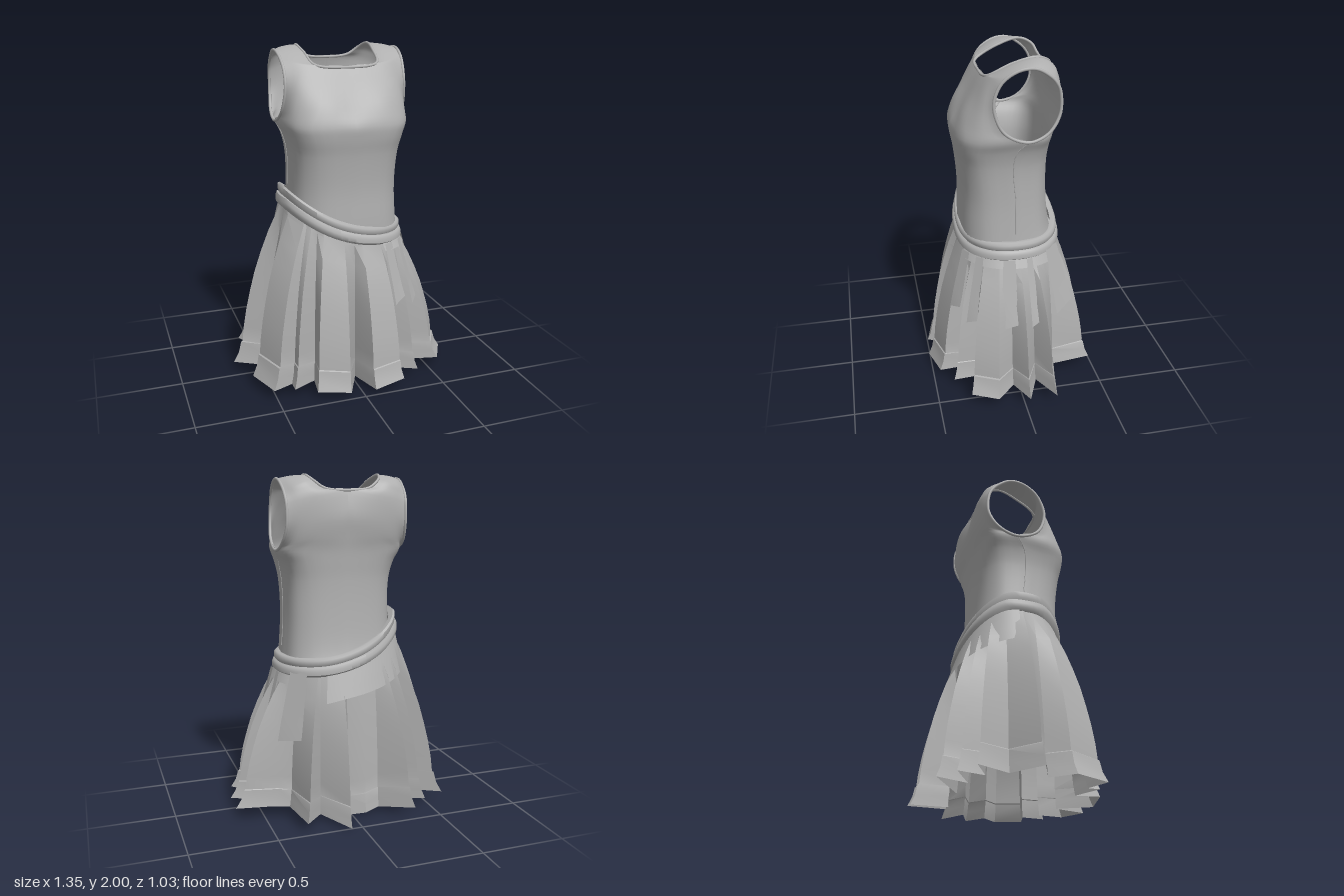
import * as THREE from 'three';
import { mergeVertices, toCreasedNormals } from 'three/addons/utils/BufferGeometryUtils.js';

const V = (x, y, z) => new THREE.Vector3(x, y, z);
const { lerp } = THREE.MathUtils;
const fabric = new THREE.MeshStandardMaterial({ color: 0xb0b0b0, side: THREE.DoubleSide });
fabric.name = 'grey fabric';

// Slant of the belt line: 0 on the left hip, 1 on the right hip
const slant = (x) => Math.pow(Math.min(1, Math.max(0, (0.36 - x) / 0.72)), 2.6);
const beltY = (x) => 0.905 + 0.235 * slant(x);

// Surface through one or more grids of points, welded where they touch
function sheet(grids) {
  const pos = [], index = [];
  for (const { rows, flip } of grids) {
    const base = pos.length / 3, n = rows[0].length;
    rows.forEach((row) => row.forEach((p) => pos.push(p.x, p.y, p.z)));
    for (let i = 0; i < rows.length - 1; i++) {
      for (let j = 0; j < n - 1; j++) {
        const a = base + i * n + j, b = a + 1, c = a + n, d = c + 1;
        if (flip) index.push(a, d, b, a, c, d);
        else index.push(a, b, d, a, d, c);
      }
    }
  }
  const g = new THREE.BufferGeometry();
  g.setAttribute('position', new THREE.Float32BufferAttribute(pos, 3));
  g.setIndex(index);
  return mergeVertices(g, 1e-4);
}

// Quarter cross-section of the torso, from the centre line to the side seam
const quarter = (y, w, zSide, z, p) => [0, 1, 2, 3].map((k) => {
  const a = k * Math.PI / 6;
  const s = Math.pow(Math.sin(a), p), c = k === 3 ? 0 : Math.pow(Math.cos(a), p);
  return V(w * s, y, zSide + (z - zSide) * c);
});

// Lower torso: height, half width, side seam z, front z, back z, squareness
const torso = [
  [0.86, 0.345, 0, 0.29, -0.285, 0.76], [1.0, 0.332, 0, 0.29, -0.245, 0.76],
  [1.2, 0.32, 0, 0.283, -0.225, 0.73], [1.4, 0.324, 0.015, 0.298, -0.22, 0.65],
  [1.5, 0.345, 0, 0.315, -0.225, 0.58], [1.57, 0.374, -0.055, 0.318, -0.23, 0.57],
];

// Chest, shoulder and upper back: four points from centre or neckline to armhole
const upper = [
  [0, 1.66, 0.27, 0.2, 1.67, 0.268, 0.325, 1.65, 0.205, 0.368, 1.63, 0.077],
  [0, 1.77, 0.21, 0.17, 1.78, 0.205, 0.29, 1.78, 0.18, 0.355, 1.77, 0.13],
  [0, 1.88, 0.15, 0.13, 1.882, 0.148, 0.25, 1.885, 0.135, 0.355, 1.87, 0.105],
  [0.18, 1.895, 0.13, 0.23, 1.905, 0.12, 0.29, 1.915, 0.1, 0.36, 1.925, 0.06],
  [0.21, 1.96, 0, 0.25, 1.968, 0, 0.31, 1.97, -0.01, 0.365, 1.965, -0.02],
  [0.22, 1.992, -0.13, 0.26, 1.99, -0.13, 0.32, 1.98, -0.12, 0.365, 1.965, -0.1],
  [0.195, 1.965, -0.2, 0.25, 1.955, -0.215, 0.31, 1.935, -0.208, 0.36, 1.92, -0.175],
  [0.13, 1.92, -0.222, 0.22, 1.917, -0.238, 0.295, 1.9, -0.232, 0.358, 1.885, -0.207],
  [0, 1.908, -0.225, 0.15, 1.88, -0.25, 0.27, 1.86, -0.248, 0.355, 1.835, -0.23],
  [0, 1.77, -0.252, 0.15, 1.76, -0.258, 0.28, 1.74, -0.248, 0.355, 1.71, -0.23],
  [0, 1.65, -0.24, 0.18, 1.65, -0.243, 0.305, 1.63, -0.22, 0.368, 1.61, -0.165],
].map((r) => [0, 3, 6, 9].map((k) => V(r[k], r[k + 1], r[k + 2])));

const keyRows = [
  ...torso.map(([y, w, zs, zf, , p]) => quarter(y, w, zs, zf, p)),
  ...upper,
  ...torso.map(([y, w, zs, , zb, p]) => quarter(y, w, zs, zb, p)).reverse(),
];
const flipX = (p, side) => V(p.x * side, p.y, p.z);

function bodiceGeometry() {
  const columns = [0, 1, 2, 3].map((k) => new THREE.CatmullRomCurve3(keyRows.map((r) => r[k])));
  const steps = (keyRows.length - 1) * 4;
  const half = (side) => Array.from({ length: steps + 1 }, (_, i) => {
    const row = new THREE.CatmullRomCurve3(columns.map((c) => c.getPoint(i / steps)));
    return row.getPoints(12).map((p) => {
      const q = flipX(p, side);
      q.y = Math.max(q.y, beltY(q.x) - 0.04);
      return q;
    });
  });
  const g = sheet([{ rows: half(1), flip: false }, { rows: half(-1), flip: true }]);
  g.computeVertexNormals();
  return g;
}

// Hem outline of the pleats as x, z pairs, from the front round by the left
const hem = [
  [0, 0.31], [0.06, 0.51], [0.26, 0.46], [0.25, 0.31], [0.38, 0.39], [0.37, 0.25], [0.55, 0.31],
  [0.63, 0.16], [0.51, 0.05], [0.67, -0.02], [0.5, -0.09], [0.67, -0.18], [0.45, -0.22], [0.36, -0.24],
  [0.32, -0.48], [0.2, -0.33], [0.07, -0.52], [0.02, -0.32], [-0.08, -0.35], [-0.17, -0.33],
  [-0.34, -0.49], [-0.3, -0.31], [-0.44, -0.41], [-0.4, -0.25], [-0.58, -0.35], [-0.48, -0.15],
  [-0.675, -0.03], [-0.5, 0.05], [-0.6, 0.17], [-0.52, 0.38], [-0.4, 0.32], [-0.4, 0.39],
  [-0.26, 0.31], [-0.28, 0.45], [-0.09, 0.5],
];

// Slightly squared waist outline at an angle from the front
const squared = (v) => Math.sign(v) * Math.pow(Math.abs(v), 0.88);
const waistPoint = (a, grow = 0) =>
  V((0.35 + grow) * squared(Math.sin(a)), 0, (0.285 + grow) * squared(Math.cos(a)));
const hemY = (x, z) => (z < 0 ? Math.min(0.08, 0.2 * Math.abs(x)) : 0.04 + 0.06 * Math.abs(x));

function skirtGeometry() {
  // Height fraction and spread fraction, with a step at the hem band
  const profile = [[1, 0], [0.93, 0.07], [0.8, 0.27], [0.68, 0.42], [0.56, 0.55], [0.44, 0.65],
    [0.33, 0.73], [0.22, 0.79], [0.13, 0.82], [0.125, 0.85], [0.06, 0.9], [0, 1]];
  const rows = profile.map(([v, spread]) => [...hem, hem[0]].map(([x, z]) => {
    const top = waistPoint(Math.atan2(x / 0.35, z / 0.285));
    const low = hemY(x, z);
    return V(lerp(top.x, x, spread), low + v * (beltY(top.x) - 0.01 - low), lerp(top.z, z, spread));
  }));
  return toCreasedNormals(sheet([{ rows, flip: true }]), 0.45);
}

// Belt layer swept round the waist from [outward, height] profile points
function beltGeometry(profile) {
  const rows = profile.map(([grow, dy]) => Array.from({ length: 65 }, (_, i) => {
    const p = waistPoint(i * Math.PI / 32, grow);
    p.y = beltY(p.x) + dy * (1 + 0.25 * slant(p.x));
    return p;
  }));
  return toCreasedNormals(sheet([{ rows, flip: true }]), 0.9);
}

// Fold of the sash hanging from the belt between two angles, with its lower edge heights
function drapeGeometry(from, to, yFrom, yTo, spread) {
  const rows = [0, 0.33, 0.67, 1].map((v) => Array.from({ length: 17 }, (_, i) => {
    const p = waistPoint(lerp(from, to, i / 16), 0.01 + spread * v);
    p.y = lerp(beltY(p.x) - 0.03, lerp(yFrom, yTo, i / 16), v);
    return p;
  }));
  return toCreasedNormals(sheet([{ rows, flip: true }]), 0.6);
}

// Hanging sash end lying over the pleats
function tailGeometry(angle, yTop, yBottom, width) {
  const rows = Array.from({ length: 5 }, (_, i) => {
    const y = lerp(yTop, yBottom, i / 4);
    const w = width * (0.7 + 0.3 * i / 4);
    const c = waistPoint(angle, 0.015 + 0.27 * (0.93 - y));
    const t = V(Math.cos(angle), 0, -Math.sin(angle));
    return [-0.5, 0, 0.5].map((k) => {
      const p = c.clone().addScaledVector(t, k * w);
      p.y = y + (i === 4 ? 0.03 * k : 0);
      return p;
    });
  });
  return toCreasedNormals(sheet([{ rows, flip: true }]), 0.5);
}

export function createModel() {
  const model = new THREE.Group();
  model.name = 'sleevelessDress';
  const add = (name, geometry) => {
    const mesh = new THREE.Mesh(geometry, fabric);
    mesh.name = name;
    model.add(mesh);
  };
  const tube = (points, radius, closed, segments = 96) =>
    new THREE.TubeGeometry(new THREE.CatmullRomCurve3(points, closed), segments, radius, 8, closed);

  add('bodice', bodiceGeometry());
  add('skirt', skirtGeometry());

  // Neckline and armhole piping
  const neck = upper.slice(2, 9).map((r) => r[0]);
  add('necklineTrim', tube([...neck, ...neck.slice(1, -1).reverse().map((p) => flipX(p, -1))], 0.008, true));
  const arm = keyRows.slice(5, 17).map((r) => r[3]);
  const seam = keyRows.slice(1, 6).map((r) => r[3]);
  for (const [side, label] of [[1, 'left'], [-1, 'right']]) {
    add(label + 'ArmholeTrim', tube(arm.map((p) => flipX(p, side)), 0.009, true));
    const visible = seam.filter((p) => p.y > beltY(p.x * side) - 0.03);
    add(label + 'SideSeam', tube(visible.map((p) => flipX(p, side)), 0.003, false, 24));
  }

  // Two overlapping belt layers and the sash folds
  add('upperBelt', beltGeometry([[-0.02, 0.052], [0.006, 0.052], [0.017, 0.04], [0.017, 0.015], [0.006, 0]]));
  add('lowerBelt', beltGeometry([[0.004, 0.006], [0.022, 0], [0.03, -0.02], [0.03, -0.042], [0.012, -0.056]]));
  add('leftHipDrape', drapeGeometry(0.45, 2.4, 0.82, 0.8, 0.035));
  add('backDrape', drapeGeometry(2.8, 4.6, 0.71, 0.88, 0.055));

  // Sash ends: angle from the front, top, bottom, width
  const tails = [[0.55, 0.86, 0.52, 0.09], [0.9, 0.86, 0.48, 0.07], [1.45, 0.86, 0.47, 0.1],
    [1.75, 0.86, 0.47, 0.05], [2.3, 0.88, 0.5, 0.16]];
  tails.forEach((t, i) => add('sashEnd' + (i + 1), tailGeometry(...t)));
  return model;
}
